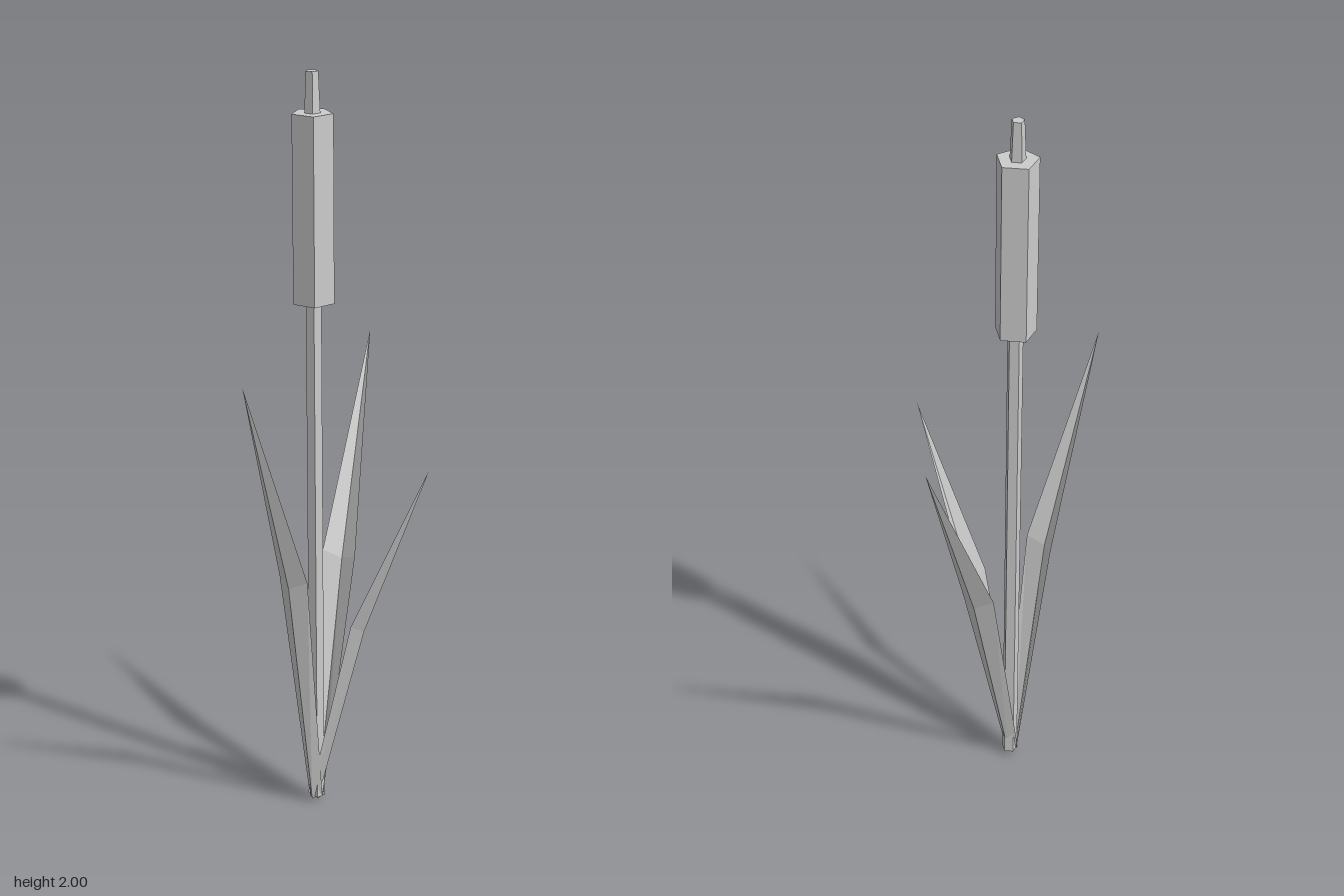
import * as THREE from 'three';

export function createModel() {
  const group = new THREE.Group();
  const grey = new THREE.MeshStandardMaterial({ color: 0xcccccc, flatShading: true, side: THREE.DoubleSide });
  grey.name = 'plain grey';
  const axisX = -0.136, axisZ = 0.045;

  // Five-sided upright pieces, one corner pointing to the back
  function prism(name, rTop, rBottom, y0, y1) {
    const geo = new THREE.CylinderGeometry(rTop, rBottom, y1 - y0, 5);
    geo.rotateY(Math.PI);
    const mesh = new THREE.Mesh(geo, grey);
    mesh.name = name;
    mesh.position.set(axisX, (y0 + y1) / 2, axisZ);
    group.add(mesh);
  }
  prism('stem', 0.021, 0.021, 0.015, 1.405);
  prism('seedHead', 0.055, 0.055, 1.405, 1.895);
  prism('stemTip', 0.0165, 0.021, 1.895, 2);

  // Folded leaf: base and middle sections (edge, ridge, edge), then the tip
  function leaf(name, base, middle, tip) {
    const geo = new THREE.BufferGeometry();
    geo.setAttribute('position', new THREE.Float32BufferAttribute([...base, ...middle, tip].flat(), 3));
    const index = [];
    for (let i = 0; i < 2; i++) {
      index.push(i, i + 1, i + 4, i, i + 4, i + 3, i + 3, i + 4, 6);
    }
    geo.setIndex(index);
    const flat = geo.toNonIndexed();
    flat.computeVertexNormals();
    const mesh = new THREE.Mesh(flat, grey);
    mesh.name = name;
    group.add(mesh);
  }
  leaf('leftLeaf',
    [[-0.143, 0.025, 0.067], [-0.13, 0.01, 0.047], [-0.143, 0.025, 0.027]],
    [[0, 0.553, 0.087], [0.017, 0.53, 0.048], [0, 0.553, 0.01]],
    [0.213, 1.02, 0.048]);
  leaf('frontLeaf',
    [[-0.161, 0.025, 0.046], [-0.138, 0.01, 0.066], [-0.116, 0.025, 0.05]],
    [[-0.182, 0.68, 0.146], [-0.137, 0.66, 0.172], [-0.091, 0.68, 0.153]],
    [-0.144, 1.26, 0.358]);
  leaf('backLeaf',
    [[-0.115, 0.02, 0.048], [-0.135, 0, 0.042], [-0.155, 0.02, 0.058]],
    [[-0.12, 0.655, -0.125], [-0.167, 0.64, -0.134], [-0.208, 0.665, -0.103]],
    [-0.217, 1.22, -0.36]);

  return group;
}
